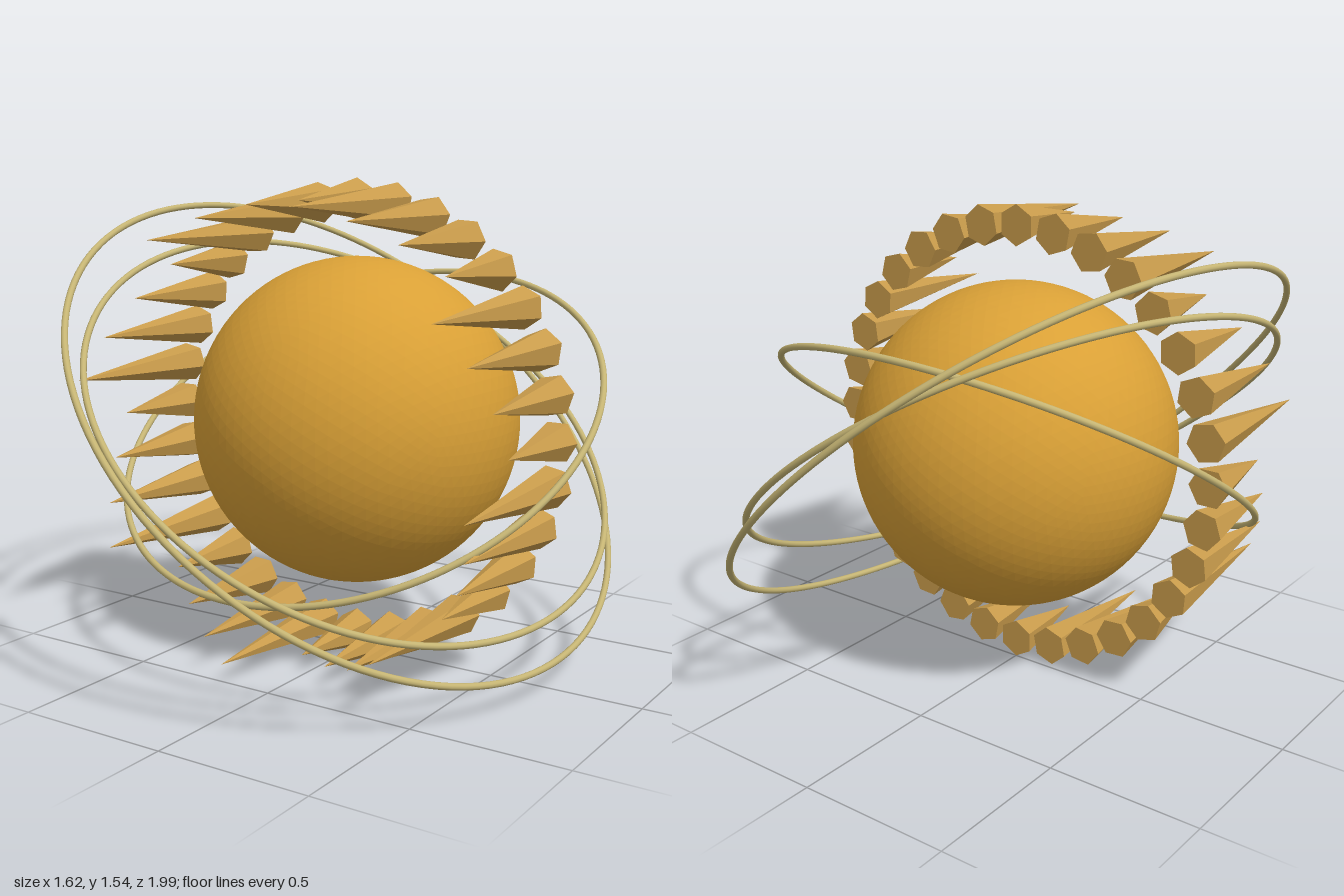
import * as THREE from 'three';

const CENTER_Y = 0.77;

function material(name, color, flatShading = false) {
  const m = new THREE.MeshStandardMaterial({ color, flatShading });
  m.name = name;
  return m;
}

export function createModel() {
  const model = new THREE.Group();
  model.name = 'ringedSphere';
  const gold = material('gold', 0xd9a036, true);
  const bronze = material('bronze', 0xc89b4b, true);
  const paleBrass = material('paleBrass', 0xc6b574);

  const add = (name, geometry, mat) => {
    const mesh = new THREE.Mesh(geometry, mat);
    mesh.name = name;
    mesh.position.y = CENTER_Y;
    model.add(mesh);
    return mesh;
  };

  // Central sphere, finely faceted
  add('sphere', new THREE.IcosahedronGeometry(0.525, 15), gold);

  // Circle of forward-pointing six-sided spikes, lengths repeating in fours
  const spikes = new THREE.Group();
  spikes.name = 'spikeCircle';
  spikes.position.y = CENTER_Y;
  model.add(spikes);
  const count = 32, circleRadius = 0.705;
  for (let i = 0; i < count; i++) {
    const angle = (i / count) * Math.PI * 2;
    const length = 0.32 + 0.077 * (i % 4);
    const geometry = new THREE.ConeGeometry(0.0655, length, 6);
    geometry.translate(0, length / 2, 0).rotateX(Math.PI / 2);
    // One corner of each base points away from the centre
    geometry.rotateZ(angle - Math.PI / 2);
    const spike = new THREE.Mesh(geometry, bronze);
    spike.name = 'spike' + (i + 1);
    spike.position.set(Math.cos(angle) * circleRadius, Math.sin(angle) * circleRadius, 0);
    spikes.add(spike);
  }

  // Three thin orbit rings, each given by its radius and axis
  const rings = [
    ['innerRing', 0.8, [0, 0.838, 0.546]],
    ['middleRing', 0.895, [0.571, 0.793, 0.21]],
    ['outerRing', 0.992, [0.667, 0.733, 0.126]],
  ];
  const zAxis = new THREE.Vector3(0, 0, 1);
  for (const [name, radius, axis] of rings) {
    const ring = add(name, new THREE.TorusGeometry(radius, 0.0105, 10, 128), paleBrass);
    ring.quaternion.setFromUnitVectors(zAxis, new THREE.Vector3(...axis).normalize());
  }

  return model;
}
